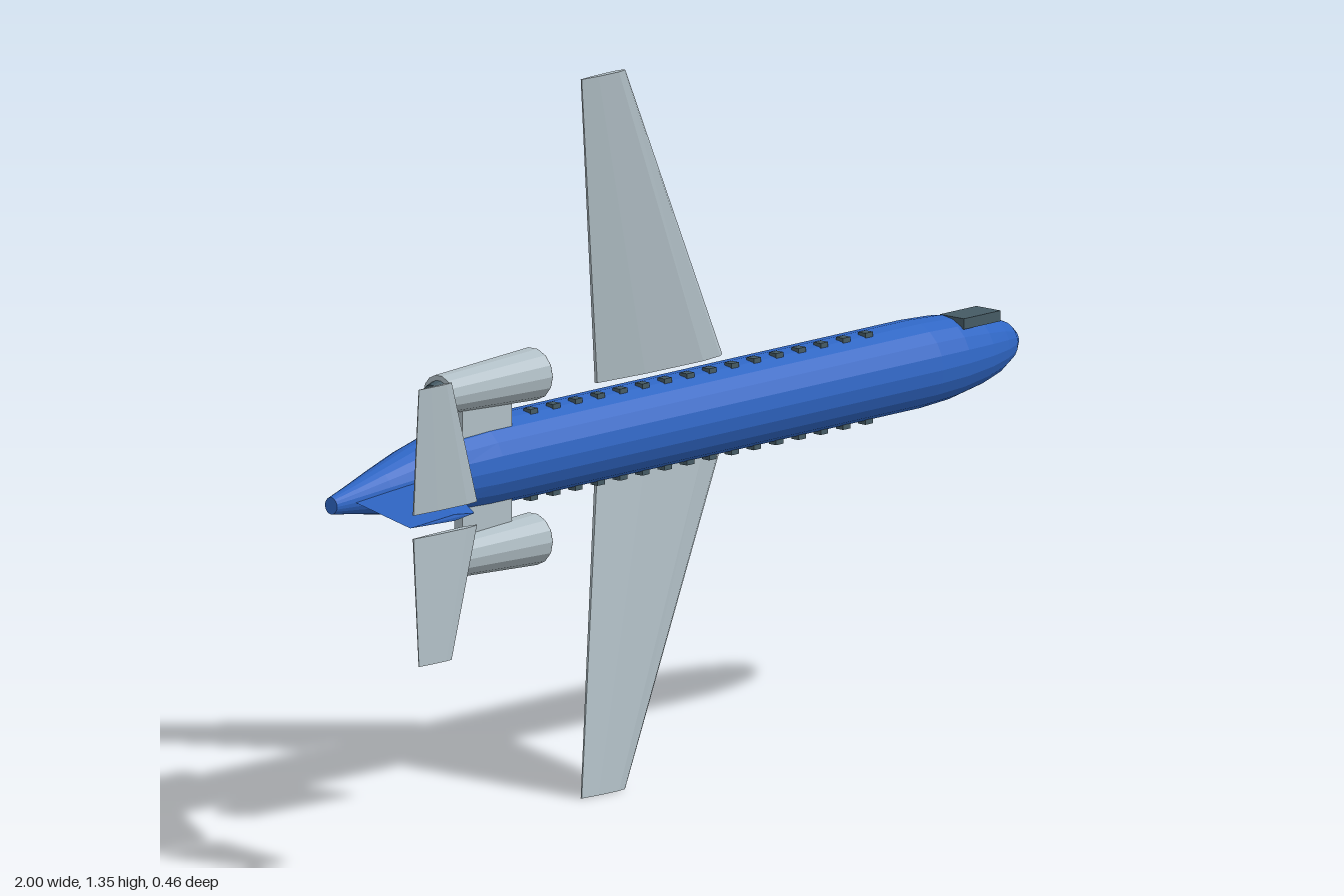
import * as THREE from 'three';

const mat = (color) => new THREE.MeshStandardMaterial({ color, flatShading: true });
const blue = mat(0x2f66c4);
const grey = mat(0xb0bec5);
const slate = mat(0x455a64);
const black = mat(0x1c1c1c);

// Skin a closed solid over equal-sized rings of [x, y, z] points, faces outward
function loft(rings) {
  const n = rings[0].length;
  const pts = rings.flat();
  const tris = [];
  for (let r = 0; r < rings.length - 1; r++) {
    for (let i = 0; i < n; i++) {
      const a = r * n + i, b = r * n + (i + 1) % n;
      tris.push([a, b, a + n], [b, b + n, a + n]);
    }
  }
  const last = (rings.length - 1) * n;
  for (let i = 1; i < n - 1; i++) {
    tris.push([0, i + 1, i], [last, last + i, last + i + 1]);
  }
  const v = pts.map((p) => new THREE.Vector3(...p));
  let volume = 0;
  for (const [a, b, c] of tris) volume += v[a].dot(v[b].clone().cross(v[c]));
  if (volume < 0) tris.forEach((t) => t.reverse());
  const geo = new THREE.BufferGeometry();
  geo.setAttribute('position', new THREE.Float32BufferAttribute(pts.flat(), 3));
  geo.setIndex(tris.flat());
  const flat = geo.toNonIndexed();
  flat.computeVertexNormals();
  return flat;
}

// Lens-shaped section across the span: rear x, front x, height z, thickness
function airfoil(y, rear, front, z, t) {
  const c = front - rear;
  return [[0, -0.1], [0.35, -0.4], [0.8, -0.5], [0.96, -0.25], [1, 0],
    [0.96, 0.25], [0.8, 0.5], [0.35, 0.4], [0, 0.1]]
    .map(([u, w]) => [rear + u * c, y, z + w * t]);
}

export function createModel() {
  const model = new THREE.Group();
  model.name = 'airliner';
  const plane = new THREE.Group(); // nose +x, top +z, span along y
  plane.name = 'plane';
  plane.position.y = 0.675;
  model.add(plane);

  const add = (name, geo, material, x = 0, y = 0, z = 0, parent = plane) => {
    const m = new THREE.Mesh(geo, material);
    m.name = name;
    m.position.set(x, y, z);
    parent.add(m);
    return m;
  };

  // Fuselage: station x, centre height, half width, half height
  const stations = [
    [-0.95, -0.026, 0.016, 0.015], [-0.88, -0.038, 0.028, 0.027],
    [-0.8, -0.052, 0.043, 0.041], [-0.7, -0.067, 0.062, 0.058],
    [-0.6, -0.079, 0.077, 0.073], [-0.5, -0.087, 0.083, 0.083],
    [0.7, -0.087, 0.083, 0.083], [0.78, -0.088, 0.079, 0.079],
    [0.86, -0.09, 0.068, 0.068], [0.92, -0.093, 0.055, 0.054],
    [0.965, -0.097, 0.038, 0.037], [0.99, -0.1, 0.02, 0.02],
    [1, -0.1, 0.005, 0.005],
  ];
  const sides = 20;
  add('fuselage', loft(stations.map(([x, zc, ry, rz]) =>
    Array.from({ length: sides }, (_, i) => {
      const a = (i / sides) * Math.PI * 2;
      return [x, ry * Math.cos(a), zc + rz * Math.sin(a)];
    }))), blue);

  // Tail fin, swept back and thinner at the tip
  const finRing = (rear, front, zr, zf, t) => [
    [rear, 0, zr], [rear + (front - rear) * 0.7, t, zf], [front, 0, zf],
    [rear + (front - rear) * 0.7, -t, zf]];
  add('tailFin', loft([
    finRing(-0.89, -0.645, -0.03, -0.02, 0.012),
    finRing(-1, -0.82, 0.216, 0.212, 0.006),
  ]), blue);

  // Cockpit window
  add('cockpitWindow', new THREE.BoxGeometry(0.1, 0.02, 0.06), slate, 0.84, 0.068, -0.065);

  const wheelGeo = (r) => new THREE.CylinderGeometry(r, r, 0.014, 16);
  const gear = (name, x, y, z, r) => {
    const g = new THREE.Group();
    g.name = name;
    g.position.set(x, y, z);
    plane.add(g);
    const strut = add('strut', new THREE.CylinderGeometry(0.008, 0.008, 0.045, 8), grey, 0, 0, 0.023, g);
    strut.rotation.x = Math.PI / 2;
    for (const s of [-1, 1]) {
      add('tyre', wheelGeo(r), black, 0, s * 0.018, 0, g);
      add('hub', new THREE.CylinderGeometry(r * 0.94, r * 0.94, 0.016, 16), slate, 0, s * 0.018, 0, g);
    }
  };
  gear('noseGear', 0.785, 0, -0.205, 0.025);

  for (const s of [1, -1]) {
    const side = s > 0 ? 'left' : 'right';

    // Wing and tailplane
    add(side + 'Wing', loft([
      airfoil(s * 0.082, -0.1, 0.245, -0.14, 0.032),
      airfoil(s * 0.675, -0.2, -0.08, -0.086, 0.013),
    ]), grey);
    add(side + 'Tailplane', loft([
      airfoil(s * 0.022, -0.99, -0.815, 0.214, 0.014),
      airfoil(s * 0.26, -0.99, -0.9, 0.228, 0.007),
    ]), grey);

    // Engine pod with intake, nozzle and pylon
    const engine = new THREE.Group();
    engine.name = side + 'Engine';
    engine.position.set(0, s * 0.155, -0.05);
    plane.add(engine);
    const tube = (name, rFront, rRear, x0, x1, material) => {
      const m = add(name, new THREE.CylinderGeometry(rRear, rFront, x1 - x0, 14),
        material, (x0 + x1) / 2, 0, 0, engine);
      m.rotation.z = Math.PI / 2;
    };
    tube('nacelle', 0.049, 0.037, -0.63, -0.372, grey);
    tube('intake', 0.048, 0.048, -0.376, -0.37, black);
    tube('nozzle', 0.03, 0.022, -0.65, -0.62, slate);
    add('pylon', new THREE.BoxGeometry(0.135, 0.065, 0.02), grey, -0.508, -s * 0.07, 0, engine);

    gear(side + 'MainGear', 0.02, s * 0.152, -0.2, 0.03);

    // Cabin windows
    for (let i = 0; i < 16; i++) {
      add(side + 'CabinWindow', new THREE.BoxGeometry(0.02, 0.014, 0.018), slate,
        -0.36 + i * 0.061, s * 0.079, -0.066);
    }
  }
  return model;
}
